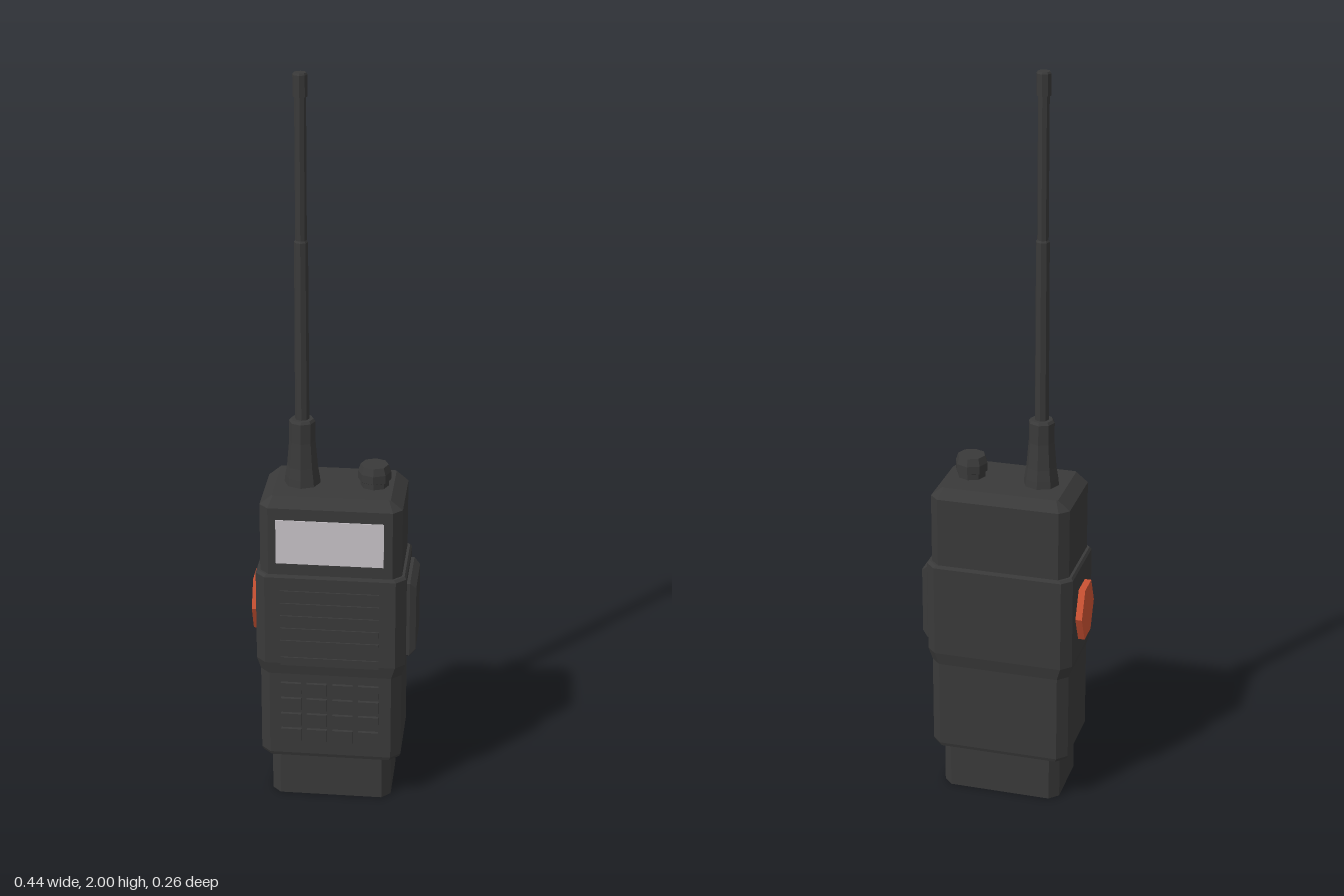
import * as THREE from 'three';

const CX = -0.004, CZ = -0.004; // centre of the casing

const flat = (geometry) => {
  const g = geometry.index ? geometry.toNonIndexed() : geometry;
  g.computeVertexNormals();
  return g;
};

// Stacks chamfered rectangles [y, halfWidth, halfDepth, chamfer] into a closed solid.
function loft(rows) {
  const pos = [], idx = [], n = 8;
  for (const [y, w, d, c] of rows) {
    const ring = [[w, d - c], [w - c, d], [c - w, d], [-w, d - c], [-w, c - d], [c - w, -d], [w - c, -d], [w, c - d]];
    for (const [x, z] of ring) pos.push(x, y, z);
  }
  for (let r = 0; r < rows.length - 1; r++) {
    for (let i = 0; i < n; i++) {
      const a = r * n + i, b = r * n + (i + 1) % n;
      idx.push(a, a + n, b, b, a + n, b + n);
    }
  }
  const top = (rows.length - 1) * n;
  for (let i = 1; i < n - 1; i++) {
    idx.push(0, i, i + 1);
    idx.push(top, top + i + 1, top + i);
  }
  const g = new THREE.BufferGeometry();
  g.setAttribute('position', new THREE.Float32BufferAttribute(pos, 3));
  // Rings run clockwise seen from above, so swap each face to point outward.
  for (let i = 0; i < idx.length; i += 3) [idx[i + 1], idx[i + 2]] = [idx[i + 2], idx[i + 1]];
  g.setIndex(idx);
  return orientOutward(flat(g));
}

// Turns every triangle away from the vertical axis or, for caps, from mid height.
function orientOutward(g) {
  const p = g.attributes.position;
  g.computeBoundingBox();
  const mid = g.boundingBox.getCenter(new THREE.Vector3());
  const [a, b, c] = [0, 1, 2].map(() => new THREE.Vector3());
  for (let i = 0; i < p.count; i += 3) {
    a.fromBufferAttribute(p, i);
    b.fromBufferAttribute(p, i + 1);
    c.fromBufferAttribute(p, i + 2);
    const normal = b.clone().sub(a).cross(c.clone().sub(a)).normalize();
    const out = a.clone().add(b).add(c).divideScalar(3).sub(mid);
    if (Math.abs(normal.y) < 0.99) out.y = 0;
    if (normal.dot(out) < 0) {
      p.setXYZ(i + 1, c.x, c.y, c.z);
      p.setXYZ(i + 2, b.x, b.y, b.z);
    }
  }
  g.computeVertexNormals();
  return g;
}

// Faceted turned part from [radius, y] points.
const turned = (points, sides = 8) =>
  flat(new THREE.LatheGeometry(points.map(([r, y]) => new THREE.Vector2(r, y)), sides));

export function createModel() {
  const model = new THREE.Group();
  const material = (name, color) => {
    const m = new THREE.MeshStandardMaterial({ color });
    m.name = name;
    return m;
  };
  const casing = material('charcoal plastic', 0x3a3a3a);
  const orange = material('orange button', 0xcb5233);
  const glass = material('pale display', 0xcac5ca);

  const add = (name, geometry, mat, x = 0, y = 0, z = 0, parent = model) => {
    const mesh = new THREE.Mesh(geometry, mat);
    mesh.name = name;
    mesh.position.set(x, y, z);
    parent.add(mesh);
    return mesh;
  };

  // Casing, from the battery foot to the bevelled head
  add('batteryFoot', loft([[0, 0.164, 0.104, 0.024], [0.14, 0.164, 0.104, 0.024]]), casing, CX, 0, CZ);
  add('body', loft([
    [0.13, 0.187, 0.12, 0.026], [0.14, 0.191, 0.123, 0.026], [0.385, 0.191, 0.123, 0.026],
    [0.42, 0.201, 0.129, 0.026], [0.675, 0.201, 0.129, 0.026], [0.682, 0.196, 0.125, 0.026],
  ]), casing, CX, 0, CZ);
  add('head', loft([
    [0.67, 0.189, 0.1215, 0.024], [0.873, 0.189, 0.1215, 0.024], [0.9, 0.157, 0.1, 0.004],
  ]), casing, CX, 0, CZ);

  // Display
  add('display', new THREE.BoxGeometry(0.286, 0.125, 0.006), glass, -0.005, 0.778, 0.117);

  // Speaker grille bars and the long key below them
  const grille = new THREE.Group();
  grille.name = 'speakerGrille';
  model.add(grille);
  for (let i = 0; i < 5; i++) {
    add('grilleBar', new THREE.BoxGeometry(0.265, 0.017, 0.01), casing, -0.005, 0.63 - i * 0.037, 0.124, grille);
  }
  add('longKey', new THREE.BoxGeometry(0.265, 0.024, 0.01), casing, -0.005, 0.428, 0.124);

  // Keypad
  const keypad = new THREE.Group();
  keypad.name = 'keypad';
  model.add(keypad);
  for (let row = 0; row < 4; row++) {
    for (let col = 0; col < 4; col++) {
      add('key', new THREE.BoxGeometry(0.055, 0.036, 0.014), casing,
        -0.11 + col * 0.07, 0.342 - row * 0.047, 0.121, keypad);
    }
  }

  // Bevelled pad on the left side
  const pad = loft([[0, 0.11, 0.081, 0.003], [0.014, 0.11, 0.081, 0.003], [0.03, 0.094, 0.073, 0.003]]);
  pad.rotateZ(-Math.PI / 2);
  add('sidePad', pad, casing, 0.192, 0.545, -0.002);

  // Six-sided push button on the right side
  const button = new THREE.CylinderGeometry(0.067, 0.067, 0.03, 6);
  button.rotateZ(Math.PI / 2);
  button.scale(1, 1.27, 1);
  add('pushButton', flat(button), orange, -0.208, 0.545, -0.008);

  // Antenna: flared socket, stepped rod and tip
  const antenna = new THREE.Group();
  antenna.name = 'antenna';
  antenna.position.set(-0.09, 0, -0.003);
  model.add(antenna);
  add('antennaSocket', turned([
    [0.049, 0.895], [0.046, 0.92], [0.041, 0.95], [0.035, 1.02], [0.035, 1.075], [0.03, 1.082], [0, 1.082],
  ]), casing, 0, 0, 0, antenna);
  add('antennaRod', turned([[0.019, 1.07], [0.018, 1.565], [0.015, 1.57], [0.015, 1.95]]), casing, 0, 0, 0, antenna);
  add('antennaTip', turned([[0, 1.94], [0.019, 1.94], [0.019, 1.995], [0.016, 2], [0, 2]]), casing, 0, 0, 0, antenna);

  // Volume knob
  add('volumeKnob', turned([
    [0.038, 0.895], [0.038, 0.915], [0.044, 0.918], [0.044, 0.94], [0.037, 0.96], [0, 0.96],
  ]), casing, 0.102, 0, -0.003);

  return model;
}
